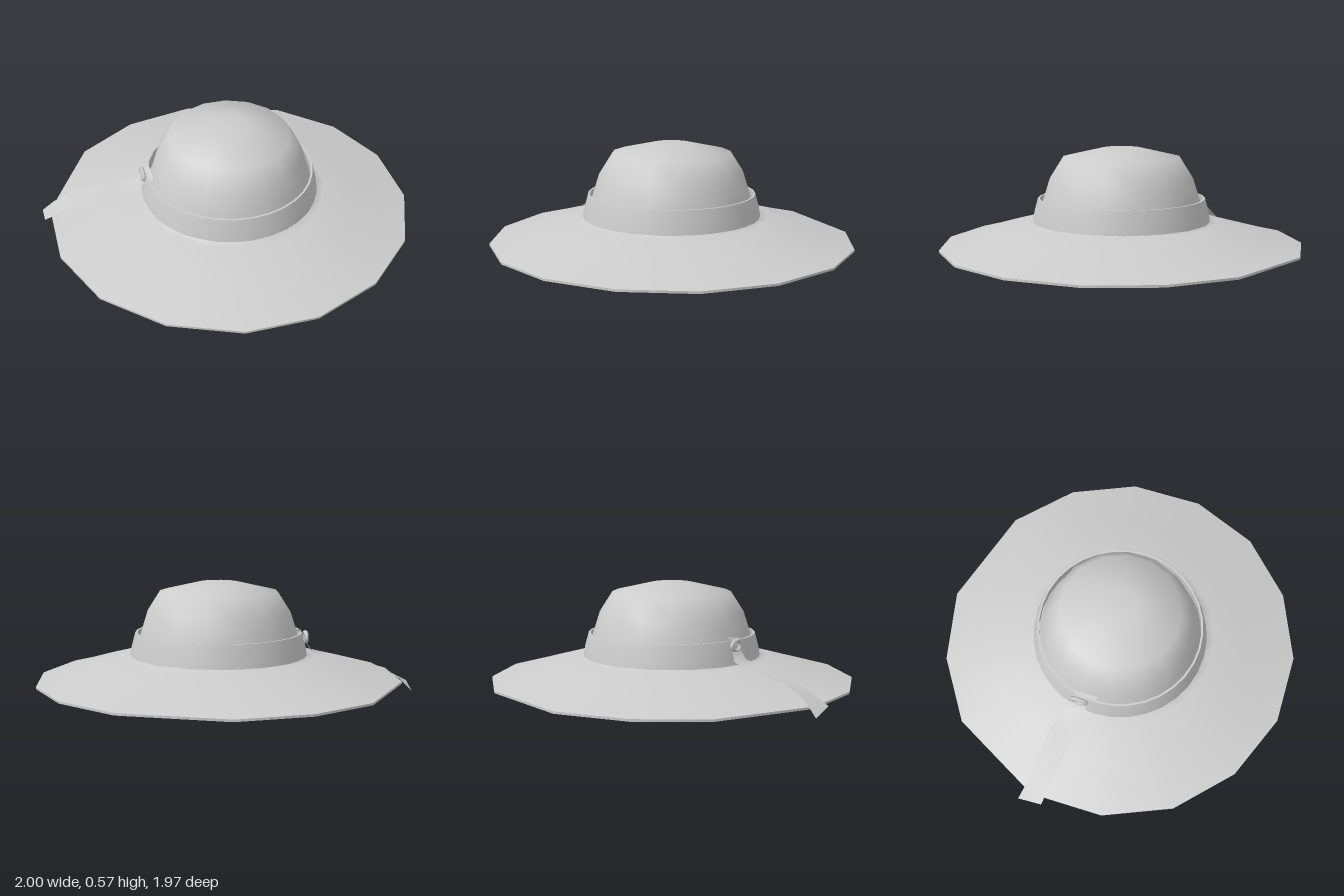
import * as THREE from 'three';
import { toCreasedNormals } from 'three/addons/utils/BufferGeometryUtils.js';

const CX = 0.02, CZ = 0.005; // crown centre

// Skin between rows of points; each row has the same number of points
function loft(rows, closed) {
  const n = rows[0].length, last = closed ? n : n - 1, index = [];
  for (let i = 0; i < rows.length - 1; i++) {
    for (let j = 0; j < last; j++) {
      const a = i * n + j, c = i * n + (j + 1) % n, b = a + n, d = c + n;
      index.push(a, c, b, c, d, b);
    }
  }
  const g = new THREE.BufferGeometry();
  g.setAttribute('position', new THREE.Float32BufferAttribute(rows.flat(2), 3));
  g.setIndex(index);
  g.computeVertexNormals();
  return g;
}

// Slightly irregular 16-sided brim outline, as [x, z]
const OUTLINE = [
  [1, 0.2], [0.85, 0.56], [0.57, 0.83], [0.21, 0.98], [-0.17, 0.98], [-0.53, 0.83], [-0.81, 0.56], [-0.96, 0.2],
  [-0.96, -0.2], [-0.82, -0.46], [-0.69, -0.7], [-0.37, -0.91], [0.02, -0.99], [0.57, -0.82], [0.85, -0.55], [1, -0.2],
];

// Circular ring of the crown
const crownRing = (r, y) => OUTLINE.map((_, j) => {
  const a = (j + 0.5) * Math.PI / 8;
  return [CX + r * Math.cos(a), y, CZ + r * Math.sin(a)];
});

// Brim ring: f = 0 at the crown base, 1 at the outline
const brimRing = (f, y) => crownRing(0.465, y).map(([x, , z], j) => [
  x + (OUTLINE[j][0] - x) * f, y, z + (OUTLINE[j][1] - z) * f,
]);

export function createModel() {
  const hat = new THREE.Group();
  hat.name = 'sunHat';
  const felt = new THREE.MeshStandardMaterial({ color: 0xcccccc, side: THREE.DoubleSide });
  felt.name = 'paleGrey';
  const add = (name, geometry, parent = hat) => {
    const mesh = new THREE.Mesh(geometry, felt);
    mesh.name = name;
    parent.add(mesh);
    return mesh;
  };

  // Crown and brim: outer skin from the top to the rim, then the lining back up
  const crown = [[0.0001, 0.573], [0.11, 0.57], [0.325, 0.52], [0.395, 0.41], [0.43, 0.3], [0.452, 0.22], [0.465, 0.178]];
  const brim = [[0.12, 0.168], [0.45, 0.122], [0.75, 0.076], [1, 0.042]];
  const rows = [
    ...crown.map(([r, y]) => crownRing(r, y)),
    ...brim.map(([f, y]) => brimRing(f, y)),
    ...brim.map(([f, y]) => brimRing(f, y - 0.012)).reverse(),
    ...crown.map(([r, y]) => crownRing(Math.max(r - 0.012, 0.0001), y - 0.012)).reverse(),
  ];
  add('crownAndBrim', toCreasedNormals(loft(rows, true), 1.2));

  // Ribbon band, standing slightly away from the crown at its top
  const bandProfile = [[0.487, 0.165], [0.478, 0.22], [0.457, 0.298], [0.446, 0.298], [0.452, 0.22]];
  const band = add('band', toCreasedNormals(
    new THREE.LatheGeometry(bandProfile.map(p => new THREE.Vector2(...p)), 32), 0.9));
  band.position.set(CX, 0, CZ);

  // Ribbon bow at the side
  const bow = new THREE.Group();
  bow.name = 'ribbonTie';
  hat.add(bow);

  // Long tail lying over the brim and hanging past its edge
  add('ribbonTail', loft([
    [[-0.43, 0.28, -0.11], [-0.43, 0.28, -0.05]],
    [[-0.48, 0.2, -0.155], [-0.48, 0.2, -0.04]],
    [[-0.6, 0.177, -0.19], [-0.6, 0.177, -0.065]],
    [[-0.82, 0.135, -0.225], [-0.81, 0.13, -0.095]],
    [[-0.93, 0.07, -0.24], [-0.92, 0.075, -0.115]],
    [[-1, 0, -0.265], [-1, 0.035, -0.13]],
  ].map(row => row.reverse()), false), bow);

  // Short pointed end sticking up from the knot
  add('ribbonEnd', loft([
    [[-0.45, 0.25, -0.1], [-0.45, 0.25, -0.03]],
    [[-0.44, 0.29, -0.1], [-0.43, 0.29, 0]],
    [[-0.41, 0.32, -0.12], [-0.405, 0.3, 0.01]],
  ], false), bow);

  // Small loop of the knot
  const loop = add('knotLoop', new THREE.TorusGeometry(0.034, 0.012, 6, 12), bow);
  loop.scale.set(1.2, 0.8, 1);
  loop.rotation.y = -Math.PI / 2;
  loop.position.set(-0.448, 0.275, -0.085);

  return hat;
}
